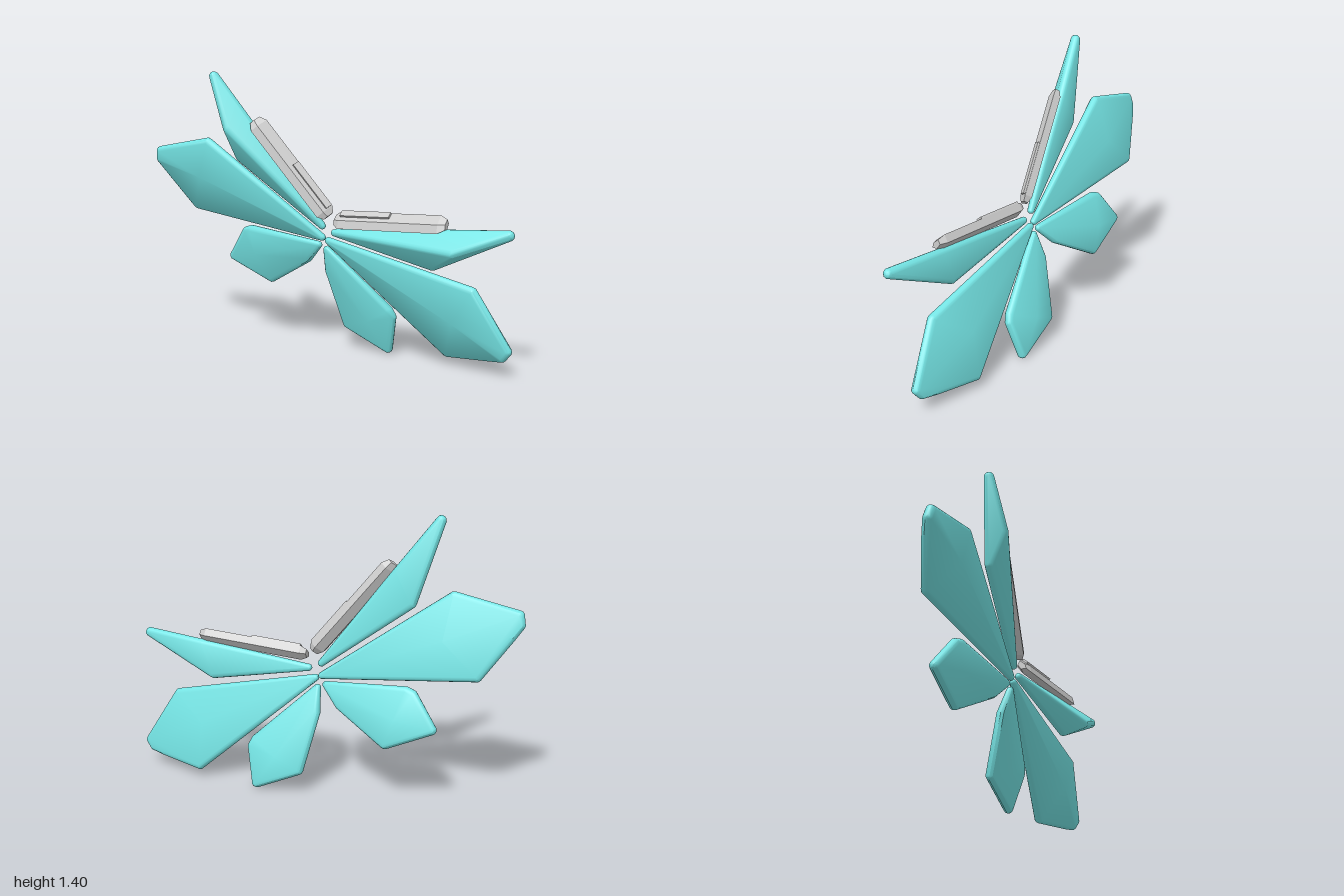
import * as THREE from 'three';
import { ConvexGeometry } from 'three/addons/geometries/ConvexGeometry.js';
import { toCreasedNormals } from 'three/addons/utils/BufferGeometryUtils.js';

const teal = new THREE.MeshStandardMaterial({ color: 0x74e4e4 });
const grey = new THREE.MeshStandardMaterial({ color: 0xcccccc, flatShading: true });

// Outlines of the left-hand blades: [sideways, up, forward], root first
const blades = {
  upperBlade: {
    rim: [[0.02, 0.025, 0], [0.568, 0.345, -0.01], [0.862, 0.495, 0], [0.67, 0.305, 0.085], [0.575, 0.138, 0.025]],
    bulge: [],
  },
  largeBlade: {
    rim: [[0, -0.025, 0], [0.785, 0.15, 0], [1.07, -0.055, 0.01], [1.06, -0.1, 0.01], [1, -0.145, -0.005], [0.775, -0.288, -0.045]],
    bulge: [[0.76, -0.06, 0.045], [0.68, -0.06, -0.07]],
  },
  lowerBlade: {
    rim: [[0.01, -0.065, 0], [0.045, -0.18, -0.02], [0.235, -0.46, -0.055], [0.507, -0.452, -0.05], [0.475, -0.25, -0.04], [0.447, -0.22, -0.035]],
    bulge: [[0.35, -0.33, 0.0], [0.33, -0.34, -0.09]],
  },
};

// Hull around small balls set just inside the outline gives soft, rounded edges
function bladeGeometry({ rim, bulge }, side) {
  const corners = rim.map(([x, y, z]) => new THREE.Vector3(x * side, y, z));
  const centre = new THREE.Vector3();
  corners.forEach((c) => centre.addScaledVector(c, 1 / corners.length));
  const points = bulge.map(([x, y, z]) => new THREE.Vector3(x * side, y, z));
  corners.forEach((corner, i) => {
    const r = i === 0 ? 0.018 : 0.025;
    const inset = centre.clone().sub(corner).setLength(r);
    const ball = new THREE.IcosahedronGeometry(r, 1).attributes.position;
    for (let k = 0; k < ball.count; k++) {
      points.push(new THREE.Vector3().fromBufferAttribute(ball, k).add(corner).add(inset));
    }
  });
  return toCreasedNormals(new ConvexGeometry(points), 0.6);
}

// Faceted bar: one five-sided section, narrowed at both ends
function barGeometry(length) {
  const section = [[0.037, -0.025], [0.008, 0.028], [-0.03, 0.045], [-0.037, 0], [0, -0.04]];
  const stations = [[0, 0.6], [0.03, 1], [length - 0.035, 1], [length, 0.6]];
  const points = [];
  for (const [x, s] of stations) {
    for (const [y, z] of section) points.push(new THREE.Vector3(x, y * s, z * s));
  }
  return new ConvexGeometry(points);
}

export function createModel() {
  const model = new THREE.Group();
  model.name = 'wings';

  // The symmetric fan is leaned sideways and tipped forward
  const fan = new THREE.Group();
  fan.name = 'wingFan';
  fan.position.set(0.011, 0.615, 0);
  fan.rotation.set(0.185, 0.019, -0.428);
  model.add(fan);

  for (const side of [1, -1]) {
    const label = side > 0 ? 'left' : 'right';
    for (const [name, blade] of Object.entries(blades)) {
      const mesh = new THREE.Mesh(bladeGeometry(blade, side), teal);
      mesh.name = `${label} ${name}`;
      fan.add(mesh);
    }

    // Bar along the top of each wing, with a raised strip on its inner half
    const arm = new THREE.Group();
    arm.name = `${label} arm`;
    const angle = Math.atan2(0.27, 0.524);
    arm.position.set(0.02 * side, 0.1, 0);
    arm.rotation.z = side > 0 ? angle : Math.PI - angle;
    if (side < 0) arm.scale.y = -1;
    const bar = new THREE.Mesh(barGeometry(0.6), grey);
    bar.name = 'armBar';
    const strip = new THREE.Mesh(new THREE.BoxGeometry(0.27, 0.024, 0.035), grey);
    strip.name = 'armStrip';
    strip.position.set(0.17, 0.026, -0.008);
    strip.rotation.x = 0.5;
    arm.add(bar, strip);
    fan.add(arm);
  }
  return model;
}
